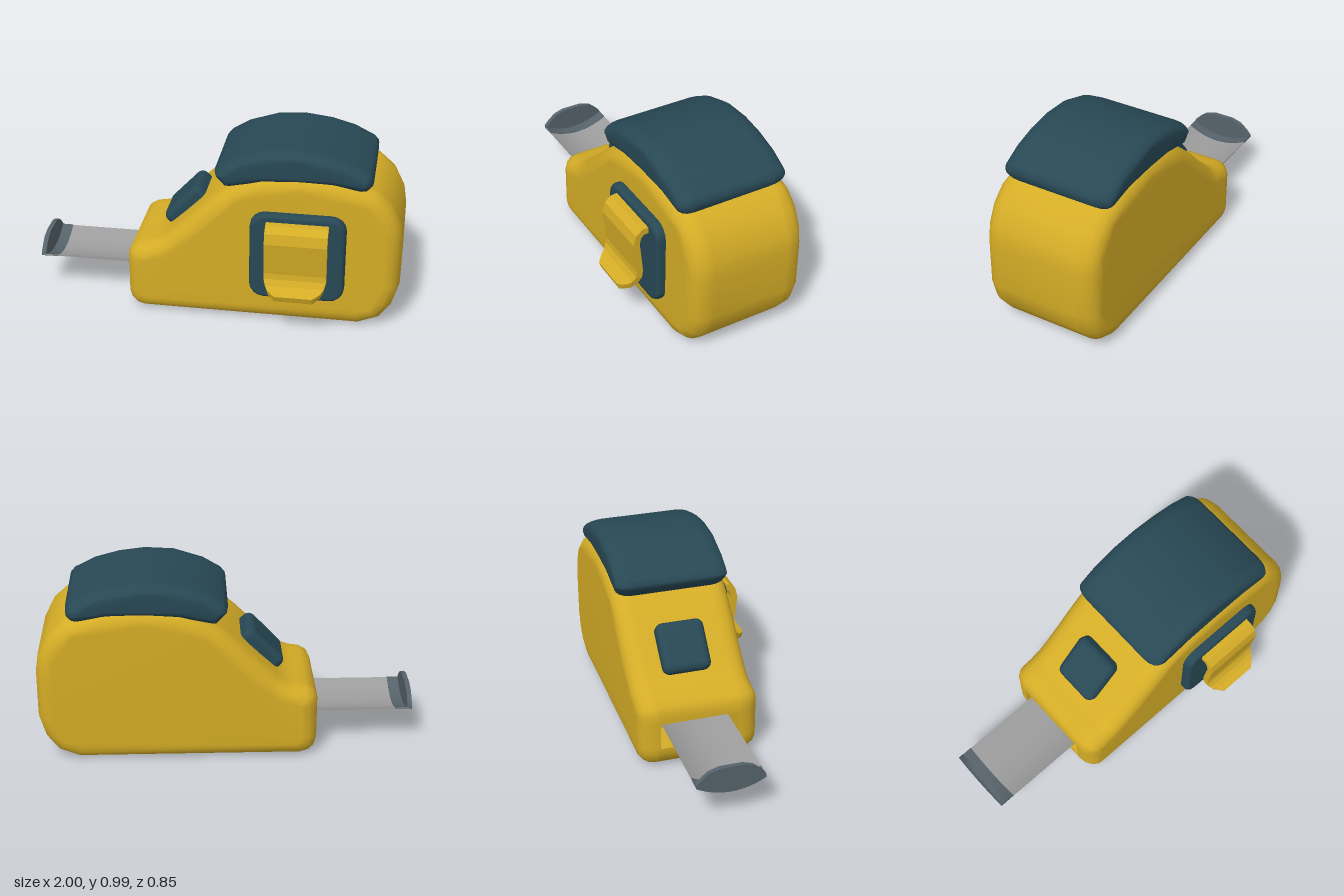
import * as THREE from 'three';
import { RoundedBoxGeometry } from 'three/addons/geometries/RoundedBoxGeometry.js';

const MID_Z = -0.0925;

// Moves a counterclockwise outline inwards by d
function inset(pts, d) {
  const n = pts.length;
  return pts.map((p, i) => {
    const a = pts[(i + n - 1) % n], b = pts[(i + 1) % n];
    const l1 = Math.hypot(p[0] - a[0], p[1] - a[1]), l2 = Math.hypot(b[0] - p[0], b[1] - p[1]);
    const n1 = [(p[1] - a[1]) / l1, (a[0] - p[0]) / l1], n2 = [(b[1] - p[1]) / l2, (p[0] - b[0]) / l2];
    const k = d / (1 + n1[0] * n2[0] + n1[1] * n2[1]);
    return [p[0] - (n1[0] + n2[0]) * k, p[1] - (n1[1] + n2[1]) * k];
  });
}

// Solid along z with rounded rims; an optional rectangular opening is left in one outline edge
function roundedSlab(pts, z0, z1, rim, depth, opening) {
  const layers = [], steps = 4, n = pts.length;
  const ring = (k, z) => {
    const a = (k / steps) * Math.PI / 2;
    layers.push({ pts: inset(pts, rim * (1 - Math.sin(a))), z: z(depth * (1 - Math.cos(a))) });
  };
  for (let k = 0; k <= steps; k++) ring(k, (d) => z0 + d);
  if (opening) opening.z.forEach((z) => layers.push({ pts, z }));
  for (let k = steps; k >= 0; k--) ring(k, (d) => z1 - d);
  const pos = [], idx = [];
  layers.forEach((l) => l.pts.forEach((p) => pos.push(p[0], p[1], l.z)));
  for (let l = 0; l < layers.length - 1; l++) {
    for (let i = 0; i < n; i++) {
      if (opening && l === steps + 1 && i === opening.edge) continue;
      const j = (i + 1) % n, a = l * n + i, b = l * n + j;
      idx.push(a, b, b + n, a, b + n, a + n);
    }
  }
  const last = (layers.length - 1) * n;
  const cap = THREE.ShapeUtils.triangulateShape(layers[0].pts.map((p) => new THREE.Vector2(...p)), []);
  cap.forEach(([a, b, c]) => idx.push(a, c, b, last + a, last + b, last + c));
  return makeGeometry(pos, idx);
}

function makeGeometry(pos, idx) {
  const g = new THREE.BufferGeometry();
  g.setAttribute('position', new THREE.Float32BufferAttribute(pos, 3));
  g.setIndex(idx);
  g.computeVertexNormals();
  return g;
}

function roundRect(x0, y0, x1, y1, r) {
  const pts = [];
  [[x1 - r, y0 + r, -1], [x1 - r, y1 - r, 0], [x0 + r, y1 - r, 1], [x0 + r, y0 + r, 2]].forEach(([x, y, q]) => {
    for (let k = 0; k <= 4; k++) {
      const a = (q + k / 4) * Math.PI / 2;
      pts.push([x + r * Math.cos(a), y + r * Math.sin(a)]);
    }
  });
  return pts;
}

// Extrudes a (z, y) section from x0 to x1
function alongX(pts, x0, x1) {
  const shape = new THREE.Shape(pts.map((p) => new THREE.Vector2(...p)));
  const g = new THREE.ExtrudeGeometry(shape, { depth: x1 - x0, bevelEnabled: false });
  return g.rotateY(-Math.PI / 2).translate(x1, 0, 0);
}

// Concave blade section curve, left to right
function bladeCurve(y) {
  const pts = [];
  for (let i = 0; i <= 16; i++) {
    const t = i / 8 - 1;
    pts.push([-0.0975 + 0.1825 * t, y + 0.05 * t * t]);
  }
  return pts;
}
const bladeBand = (y0, y1) => [...bladeCurve(y0), ...bladeCurve(y1).reverse()];

export function createModel() {
  const group = new THREE.Group();
  const material = (name, color) => Object.assign(new THREE.MeshStandardMaterial({ color }), { name });
  const yellow = material('yellow casing', 0xd4ac26);
  const teal = material('dark teal rubber', 0x274854);
  const steel = material('grey blade', 0x9c9c9c);
  const dark = material('dark steel', 0x56626a);
  const add = (name, geometry, mat) => {
    const mesh = new THREE.Mesh(geometry, mat);
    mesh.name = name;
    group.add(mesh);
    return mesh;
  };

  // Casing with an opening in its front edge (first outline edge)
  const casing = [
    [-0.48, 0.27], [-0.48, 0.12], [-0.48, 0.09], [-0.466, 0.045], [-0.435, 0.014], [-0.39, 0],
    [0.79, 0], [0.9, 0.045], [0.965, 0.13], [1, 0.25], [1, 0.5], [0.985, 0.6], [0.93, 0.71], [0.84, 0.79],
    [0.65, 0.845], [0.45, 0.865], [0.24, 0.84], [0.08, 0.77], [-0.06, 0.65], [-0.18, 0.53], [-0.26, 0.455],
    [-0.31, 0.415], [-0.36, 0.398], [-0.42, 0.388], [-0.462, 0.362], [-0.48, 0.32],
  ];
  const slotZ = [-0.31, 0.12];
  add('casing', roundedSlab(casing, -0.42, 0.235, 0.08, 0.09, { edge: 0, z: slotZ }), yellow);

  // Inward-facing walls of the blade slot
  const slot = new THREE.BoxGeometry(0.2, 0.15, slotZ[1] - slotZ[0]).scale(-1, 1, 1).toNonIndexed();
  slot.computeVertexNormals();
  slot.translate(-0.38, 0.195, (slotZ[0] + slotZ[1]) / 2);
  add('bladeSlot', slot, yellow);

  // Rubber grip over the top
  const grip = [
    [0.05, 0.765], [0.085, 0.765], [0.25, 0.8], [0.42, 0.81], [0.62, 0.81], [0.77, 0.785], [0.805, 0.79],
    [0.832, 0.82], [0.832, 0.86], [0.81, 0.885], [0.7, 0.94], [0.57, 0.975], [0.43, 0.992], [0.27, 0.982],
    [0.11, 0.93], [0.02, 0.875], [-0.005, 0.845], [0, 0.82],
  ];
  add('topGrip', roundedSlab(grip, -0.405, 0.22, 0.045, 0.09), teal);

  // Blade lock button on the slope
  const button = add('lockButton', new RoundedBoxGeometry(0.28, 0.12, 0.265, 3, 0.04), teal);
  button.position.set(-0.181, 0.539, -0.1025);
  button.rotation.z = 0.82;

  // Clip mounting plate
  add('clipPlate', roundedSlab(roundRect(0.2, 0.17, 0.71, 0.665, 0.08), 0.18, 0.285, 0.02, 0.03), teal);

  // Belt clip: a bent strip given as z, y and half width
  const path = [
    [0.27, 0.612, 0.165], [0.315, 0.608, 0.165], [0.34, 0.587, 0.165], [0.352, 0.54, 0.165], [0.332, 0.36, 0.165],
    [0.337, 0.322, 0.165], [0.358, 0.285, 0.155], [0.388, 0.263, 0.138], [0.425, 0.25, 0.1],
  ];
  const pos = [], idx = [], half = 0.018;
  path.forEach(([z, y, w], i) => {
    const a = path[Math.max(i - 1, 0)], b = path[Math.min(i + 1, path.length - 1)];
    const l = Math.hypot(b[0] - a[0], b[1] - a[1]);
    const nz = -(b[1] - a[1]) / l * half, ny = (b[0] - a[0]) / l * half;
    [[-w, 1], [w, 1], [w, -1], [-w, -1]].forEach(([x, s]) => pos.push(0.455 + x, y + ny * s, z + nz * s));
    if (i) for (let k = 0; k < 4; k++) {
      const p = i * 4 + k, q = i * 4 + (k + 1) % 4;
      idx.push(p - 4, p, q, p - 4, q, q - 4);
    }
  });
  const e = (path.length - 1) * 4;
  idx.push(0, 1, 2, 0, 2, 3, e, e + 2, e + 1, e, e + 3, e + 2);
  const clip = makeGeometry(pos, idx).toNonIndexed();
  clip.computeVertexNormals();
  add('beltClip', clip, yellow);

  // Blade, its end sleeve and hook
  add('blade', alongX(bladeBand(0.162, 0.168), -0.99, -0.3), steel);
  add('hookSleeve', alongX(bladeBand(0.159, 0.171), -0.99, -0.915), dark);
  const hookTop = [[0.1825, 0.225], [0.155, 0.255], [0.115, 0.288], [0.06, 0.305]];
  const hook = [
    ...bladeCurve(0.158),
    ...hookTop.map(([u, y]) => [u - 0.0975, y]),
    ...hookTop.map(([u, y]) => [-u - 0.0975, y]).reverse(),
  ];
  add('endHook', alongX(hook, -1, -0.975), dark);
  return group;
}
